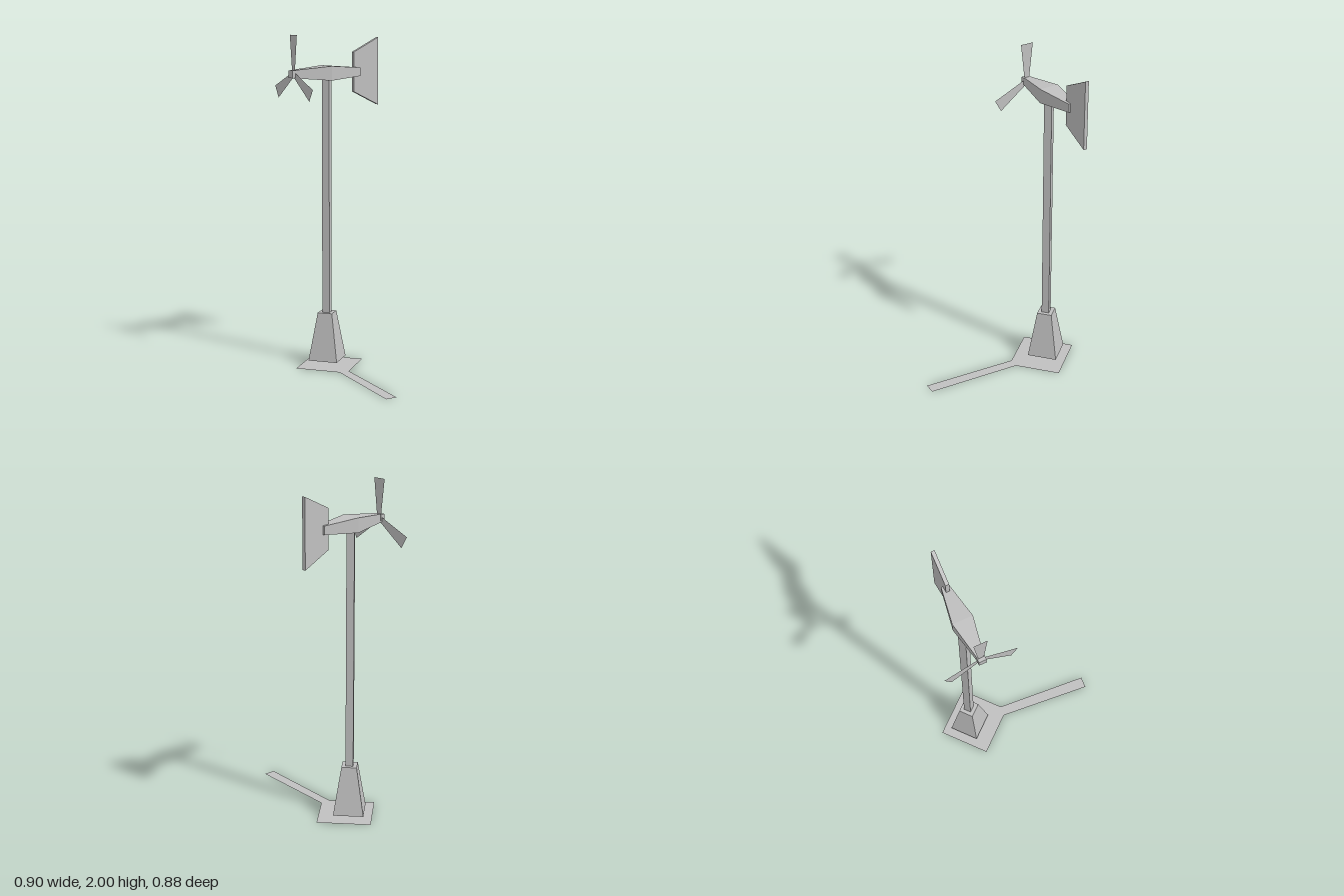
import * as THREE from 'three';

const grey = new THREE.MeshStandardMaterial({ color: 0xc0c0c0 });
grey.name = 'light grey';
const greySheet = new THREE.MeshStandardMaterial({ color: 0xc0c0c0, side: THREE.DoubleSide });
greySheet.name = 'light grey sheet';

const CX = -0.138, CZ = -0.157; // mast axis
const AXIS_Y = 1.773;           // height of the rotor axis

function add(parent, name, geometry, material = grey) {
  const mesh = new THREE.Mesh(geometry, material);
  mesh.name = name;
  parent.add(mesh);
  return mesh;
}

// Box along z whose sections [z, halfWidth, halfHeight] may change size
function loftBox(sections) {
  const n = sections.length - 1;
  const box = new THREE.BoxGeometry(2, 2, n, 1, 1, n).toNonIndexed();
  const p = box.attributes.position;
  for (let i = 0; i < p.count; i++) {
    const [z, w, h] = sections[Math.round(p.getZ(i) + n / 2)];
    p.setXYZ(i, p.getX(i) * w, p.getY(i) * h, z);
  }
  box.computeVertexNormals();
  return box;
}

function polygon(points) {
  return new THREE.Shape(points.map(([x, y]) => new THREE.Vector2(x, y)));
}

export function createModel() {
  const model = new THREE.Group();
  model.name = 'windTurbine';

  // Flat ground pad with a diagonal path, drawn as (x, -z)
  const pad = polygon([
    [-0.275, -0.025], [0, -0.025], [0.404, -0.437], [0.452, -0.387],
    [0.045, 0.018], [0.045, 0.293], [-0.275, 0.293],
  ]);
  add(model, 'padAndPath', new THREE.ShapeGeometry(pad).rotateX(-Math.PI / 2), greySheet);

  // Tapered pedestal and square mast
  const pedestal = loftBox([[0.028, 0.09, 0.09], [0.32, 0.045, 0.045]]).rotateX(-Math.PI / 2);
  add(model, 'pedestal', pedestal).position.set(CX, 0, CZ);
  add(model, 'mast', new THREE.BoxGeometry(0.045, 1.45, 0.045)).position.set(CX, 1.035, CZ);

  // Turbine head: local z runs from the hub tip to the tail
  const head = new THREE.Group();
  head.name = 'head';
  head.position.set(-0.297, AXIS_Y, 0.034);
  head.rotation.y = Math.atan2(0.642, -0.766);
  model.add(head);

  add(head, 'hub', loftBox([[0, 0.0225, 0.022], [0.03, 0.0225, 0.022]]));
  add(head, 'nacelle', loftBox([
    [0.026, 0.02, 0.024], [0.248, 0.06, 0.0425], [0.475, 0.022, 0.025],
  ]));

  // Three flat flared blades
  const blade = polygon([[-0.014, 0], [0.014, 0], [0.04, 0.227], [-0.04, 0.227]]);
  for (let i = 0; i < 3; i++) {
    const mesh = add(head, 'blade', new THREE.ShapeGeometry(blade), greySheet);
    mesh.position.z = 0.021;
    mesh.rotation.z = (i * Math.PI * 2) / 3;
  }

  // Tail vane, outlined in (z, y) and extruded across the head
  const vane = polygon([[0.433, -0.118], [0.608, -0.203], [0.608, 0.203], [0.433, 0.118]]);
  const vaneGeometry = new THREE.ExtrudeGeometry(vane, { depth: 0.022, bevelEnabled: false });
  vaneGeometry.translate(0, 0, -0.011).rotateY(-Math.PI / 2);
  add(head, 'tailVane', vaneGeometry);

  return model;
}
